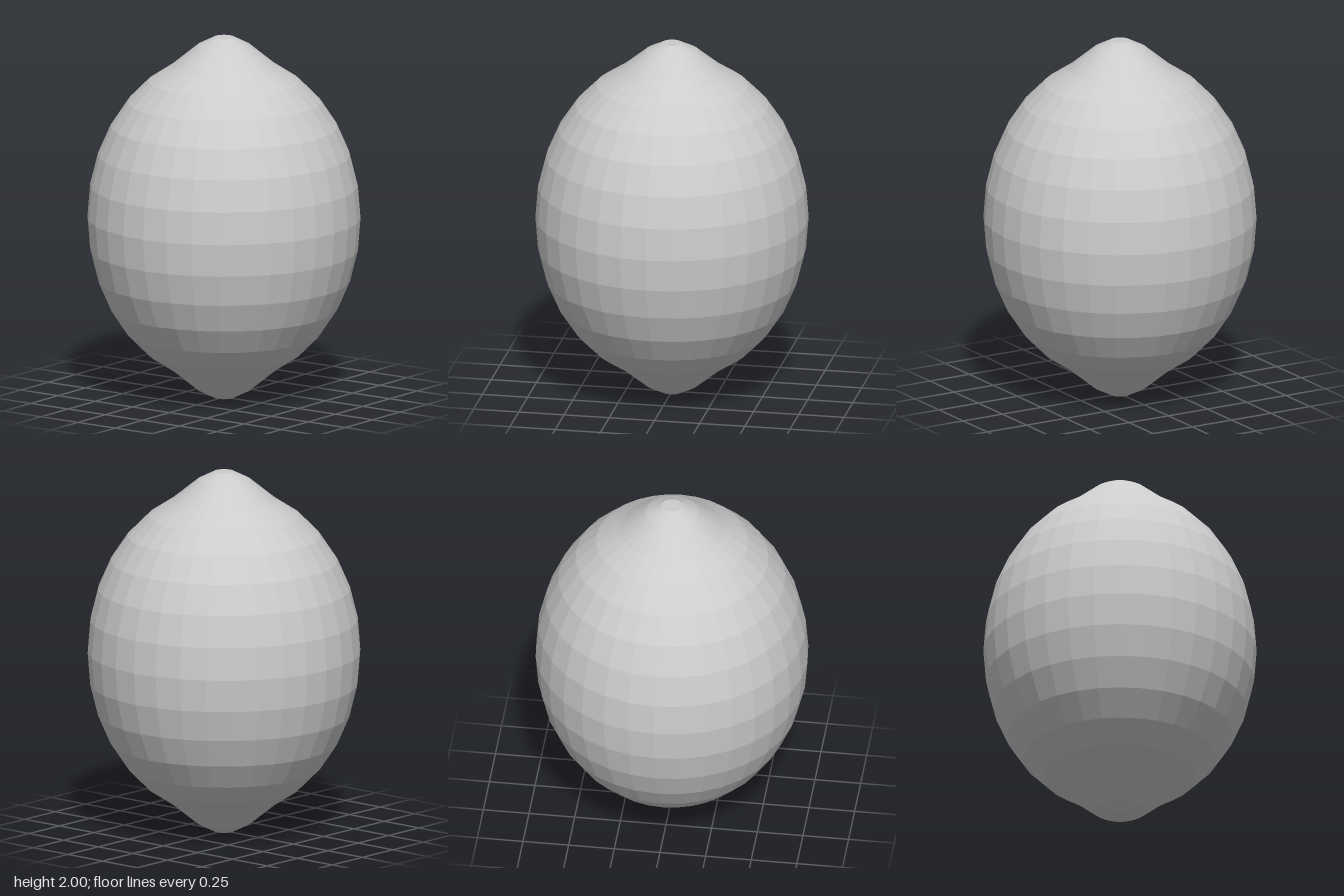
import * as THREE from 'three';

export function createModel() {
  const group = new THREE.Group();
  group.name = 'lemon';

  // Upper half of the profile: rounded belly running into a flared, blunt tip
  const R = 0.742, H = 0.91, rings = 16;
  const upper = [];
  for (let i = rings / 2; i >= 2; i--) {
    const a = (i * Math.PI) / rings;
    upper.push([R * Math.sin(a), H * Math.cos(a)]);
  }
  upper.push([0.144, 0.955], [0.055, 1], [0, 1]);

  // Mirror it below the equator, bottom to top
  const lower = upper.slice(1).reverse().map(([r, y]) => [r, -y]);
  const profile = [...lower, ...upper].map(([r, y]) => new THREE.Vector2(r, y + 1));

  // Faceted fruit body
  const fruit = new THREE.Mesh(
    new THREE.LatheGeometry(profile, 32),
    new THREE.MeshStandardMaterial({ color: 0xcccccc, flatShading: true })
  );
  fruit.name = 'fruitBody';
  group.add(fruit);
  return group;
}
